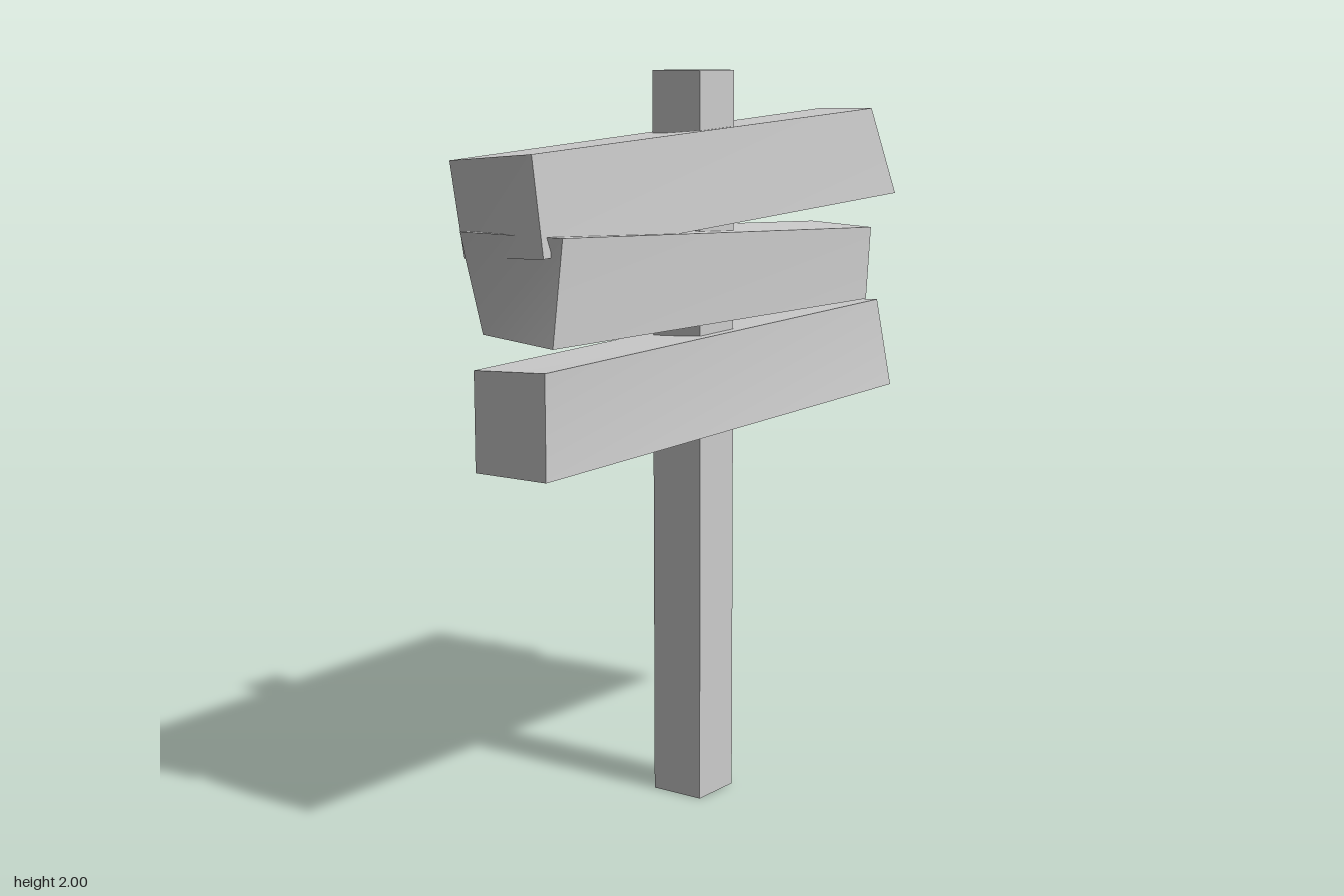
import * as THREE from 'three';

// Corner order at each end: -x top, +x top, +x bottom, -x bottom.
// f0..f3 = indices 0-3 (front end), b0..b3 = indices 4-7 (back end).
const FACES = {
  front: [3, 2, 1, 0],
  back: [6, 7, 4, 5],
  top: [0, 1, 5, 4],
  bottom: [7, 6, 2, 3],
  right: [2, 6, 5, 1],
  left: [7, 3, 0, 4],
};

// Uneven six-sided block from its front and back end outlines.
function block(name, front, back, skip = []) {
  const corners = [...front, ...back];
  const pos = [], index = [];
  for (const [side, ids] of Object.entries(FACES)) {
    if (skip.includes(side)) continue;
    const n = pos.length / 3;
    ids.forEach((i) => pos.push(...corners[i]));
    index.push(n, n + 1, n + 2, n, n + 2, n + 3);
  }
  const geo = new THREE.BufferGeometry();
  geo.setAttribute('position', new THREE.Float32BufferAttribute(pos, 3));
  geo.setIndex(index);
  geo.computeVertexNormals();
  const mat = new THREE.MeshStandardMaterial({ color: 0xcccccc });
  if (skip.length) mat.side = THREE.DoubleSide;
  const mesh = new THREE.Mesh(geo, mat);
  mesh.name = name;
  return mesh;
}

export function createModel() {
  const group = new THREE.Group();
  group.name = 'signpost';

  // Square post, turned slightly, open underneath
  const a = 0.09, b = 0.064;
  group.add(block('post',
    [[-b, 2, a], [a, 2, b], [a, 0, b], [-b, 0, a]],
    [[-a, 2, -b], [b, 2, -a], [b, 0, -a], [-a, 0, -b]],
    ['bottom']));

  // Three crooked planks
  group.add(block('topPlank',
    [[0, 1.79, 0.83], [0.225, 1.81, 0.76], [0.235, 1.56, 0.735], [0, 1.55, 0.79]],
    [[-0.23, 1.88, -0.76], [0, 1.885, -0.73], [0.01, 1.635, -0.83], [-0.23, 1.62, -0.76]]));

  group.add(block('middlePlank',
    [[0.035, 1.62, 0.83], [0.265, 1.61, 0.70], [0.265, 1.345, 0.735], [0.02, 1.36, 0.75]],
    [[-0.27, 1.54, -0.775], [-0.03, 1.535, -0.77], [-0.02, 1.325, -0.74], [-0.26, 1.29, -0.755]]));

  group.add(block('bottomPlank',
    [[0, 1.27, 0.765], [0.24, 1.285, 0.74], [0.24, 1.015, 0.74], [0, 1.01, 0.765]],
    [[-0.24, 1.31, -0.745], [-0.015, 1.32, -0.785], [0.02, 1.065, -0.81], [-0.23, 1.05, -0.765]]));

  return group;
}
